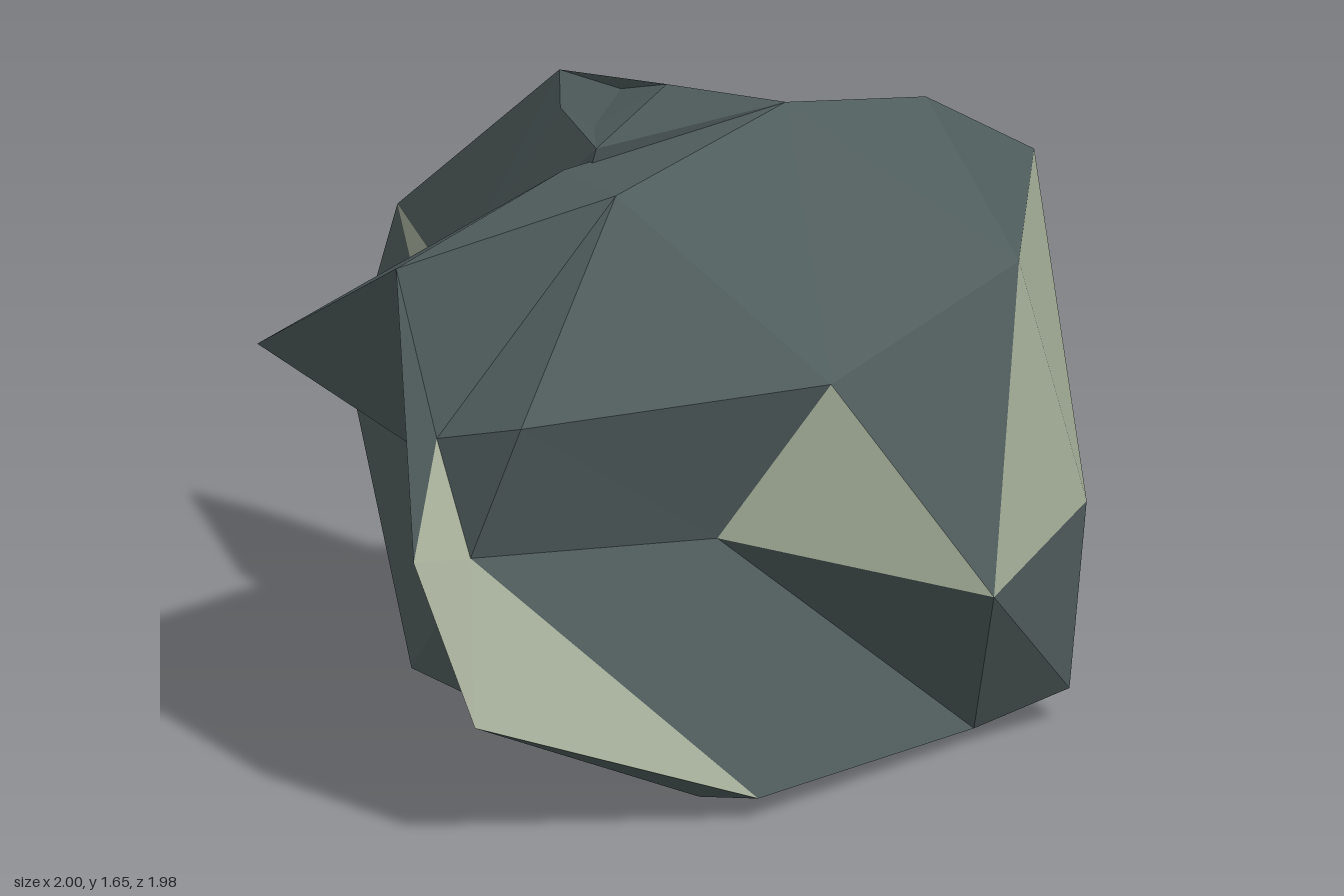
import * as THREE from 'three';
import { ConvexGeometry } from 'three/addons/geometries/ConvexGeometry.js';

const makeStone = (color) => new THREE.MeshStandardMaterial({ color, flatShading: true, side: THREE.DoubleSide });
const darkStone = makeStone(0x505d5d);
const paleStone = makeStone(0xa6af9a);

// Corners shared by both masses of the boulder
const shared = {
  foot: [-0.6, 0.01, 0], notch: [-0.6, 0.77, -0.1], hollow: [-0.25, 0.51, 0.18],
  backPit: [-0.26, 0.77, -0.345], backFoot: [-0.26, 0.15, -0.48],
  backRidge: [0.18, 0.99, -0.62], crest: [0.3, 1.56, -0.25], crestBack: [0.44, 1.47, -0.66],
};

// Turns the diagonal of the two triangles between corners a and b so that it joins them
function turnEdge(triangles, a, b) {
  if (triangles.some((t) => t.includes(a) && t.includes(b))) return;
  for (const t of triangles.filter((tri) => tri.includes(a))) {
    const i = t.indexOf(a);
    const c = t[(i + 1) % 3];
    const d = t[(i + 2) % 3];
    const other = triangles.find((o) => o.includes(b) && o.includes(c) && o.includes(d));
    if (!other) continue;
    t.splice(0, 3, a, c, b);
    other.splice(0, 3, a, b, d);
    return;
  }
}

// Faceted stone: corners are joined as seen from an inner centre, so hollows survive;
// creases name pairs of corners that share an edge, pale names the lighter facets
function facetedStone(name, corners, centre, creases, pale) {
  const names = Object.keys(corners);
  const c = new THREE.Vector3(...centre);
  const directions = names.map((n) => new THREE.Vector3(...corners[n]).sub(c).normalize());
  const hull = new ConvexGeometry(directions).attributes.position;
  const v = new THREE.Vector3();
  const triangles = [];
  for (let i = 0; i < hull.count; i++) {
    v.fromBufferAttribute(hull, i);
    let best = 0;
    directions.forEach((d, k) => {
      if (d.distanceToSquared(v) < directions[best].distanceToSquared(v)) best = k;
    });
    if (i % 3 === 0) triangles.push([]);
    triangles[triangles.length - 1].push(names[best]);
  }
  creases.forEach(([a, b]) => turnEdge(triangles, a, b));

  const isPale = (t) => pale.some((face) => face.every((n) => t.includes(n)));
  const group = new THREE.Group();
  group.name = name;
  const addFacets = (part, facets, material) => {
    const geometry = new THREE.BufferGeometry();
    geometry.setAttribute('position',
      new THREE.Float32BufferAttribute(facets.flat().flatMap((n) => corners[n]), 3));
    geometry.computeVertexNormals();
    const mesh = new THREE.Mesh(geometry, material);
    mesh.name = part;
    group.add(mesh);
  };
  addFacets('darkFacets', triangles.filter((t) => !isPale(t)), darkStone);
  addFacets('paleFacets', triangles.filter(isPale), paleStone);
  return group;
}

export function createModel() {
  const group = new THREE.Group();
  group.name = 'boulder';

  // Main slab, running from the front right to the back left
  const slab = {
    ...shared,
    // front edge
    shoulder: [-0.58, 1.08, 0.73], brow: [-0.12, 1.4, 0.84], ledge: [0.22, 1.05, 0.82],
    cleft: [-0.03, 0.97, 0.8], lip: [0.09, 0.7, 0.84],
    noseTop: [0.02, 0.72, 0.985], noseLow: [0.19, 0.33, 0.98],
    // hollow under the front edge
    cave: [-0.15, 0.77, 0.53], caveLow: [0.1, 0.48, 0.45], caveFloor: [0.22, 0.24, 0.35],
    // left flank
    flankTop: [0.69, 1.05, 0.17], flankDip: [0.45, 0.65, 0.3], flankTip: [1, 0.49, -0.07],
    flankBack: [0.84, 1.2, -0.44], rearSide: [0.9, 0.53, -0.65],
    // top and back
    crestFront: [0.22, 1.51, 0.39], rim: [-0.02, 1.48, 0.24], fold: [-0.1, 1.37, -0.06],
    rearTop: [0.54, 1.25, -0.99], rearLow: [0.25, 0.16, -0.92],
    // underside
    baseFront: [0.64, 0.06, 0.42], baseMid: [0.43, 0, 0.35], baseSide: [0.8, 0.04, -0.3],
    baseRear: [0.92, 0.09, -0.54], baseEdge: [-0.04, 0.01, 0.22],
    baseInner: [-0.06, 0.01, -0.17], basePit: [0.21, 0.25, -0.36],
  };
  group.add(facetedStone('mainSlab', slab, [0.3, 0.75, 0], [
    ['noseTop', 'noseLow'], ['noseLow', 'baseMid'], ['lip', 'baseFront'],
    ['flankTip', 'baseSide'], ['flankDip', 'baseSide'],
    ['rearSide', 'rearLow'], ['rearSide', 'backRidge'], ['backPit', 'rearLow'],
    ['crestFront', 'cleft'], ['cleft', 'lip'], ['brow', 'cave'], ['brow', 'noseTop'],
    ['notch', 'cave'],
  ], [
    ['shoulder', 'notch', 'fold'], ['shoulder', 'notch', 'cave'], ['notch', 'cave', 'hollow'],
    ['hollow', 'cave', 'caveLow'], ['cleft', 'lip', 'noseTop'], ['lip', 'noseTop', 'noseLow'],
    ['lip', 'noseLow', 'baseFront'], ['flankTop', 'flankDip', 'flankTip'],
    ['flankTip', 'flankBack', 'rearSide'], ['flankBack', 'rearTop', 'rearSide'],
    ['rearTop', 'rearSide', 'backRidge'], ['rearLow', 'backRidge', 'backPit'],
    ['foot', 'caveFloor', 'baseEdge'], ['foot', 'baseEdge', 'baseInner'],
    ['baseEdge', 'baseInner', 'baseMid'], ['baseInner', 'basePit', 'baseSide'],
    ['baseInner', 'baseMid', 'baseSide'], ['baseRear', 'rearLow', 'basePit'],
  ]));

  // Overhanging wing on the right, leaning against the slab
  const wing = {
    ...shared,
    // upper edge
    peak: [0.12, 1.65, 0], topEnd: [-0.22, 1.6, -0.06], peakBack: [-0.04, 1.59, -0.05],
    topFront: [-0.18, 1.53, 0], peakFront: [-0.03, 1.54, 0.09], peakLow: [0.04, 1.53, 0.19],
    // outer tip
    tipTop: [-0.92, 0.99, -0.45], tip: [-1, 0.57, -0.36], tipBack: [-0.89, 0.75, -0.51],
    // front and back of the thin neck
    neckFront: [-0.52, 1, -0.05], neckBack: [-0.49, 1.06, -0.14],
  };
  group.add(facetedStone('sideWing', wing, [-0.45, 0.72, 0], [
    ['topEnd', 'neckFront'], ['topEnd', 'tipTop'], ['tipTop', 'tip'],
    ['tipBack', 'neckBack'], ['tipBack', 'foot'], ['peak', 'topEnd'],
    ['peakBack', 'neckBack'], ['peakBack', 'crestBack'], ['peakBack', 'backRidge'],
  ], [
    ['tipTop', 'notch', 'neckFront'], ['topEnd', 'tipTop', 'neckBack'],
    ['tipBack', 'neckBack', 'backPit'], ['tip', 'hollow', 'foot'], ['tipBack', 'foot', 'backFoot'],
  ]));

  return group;
}
